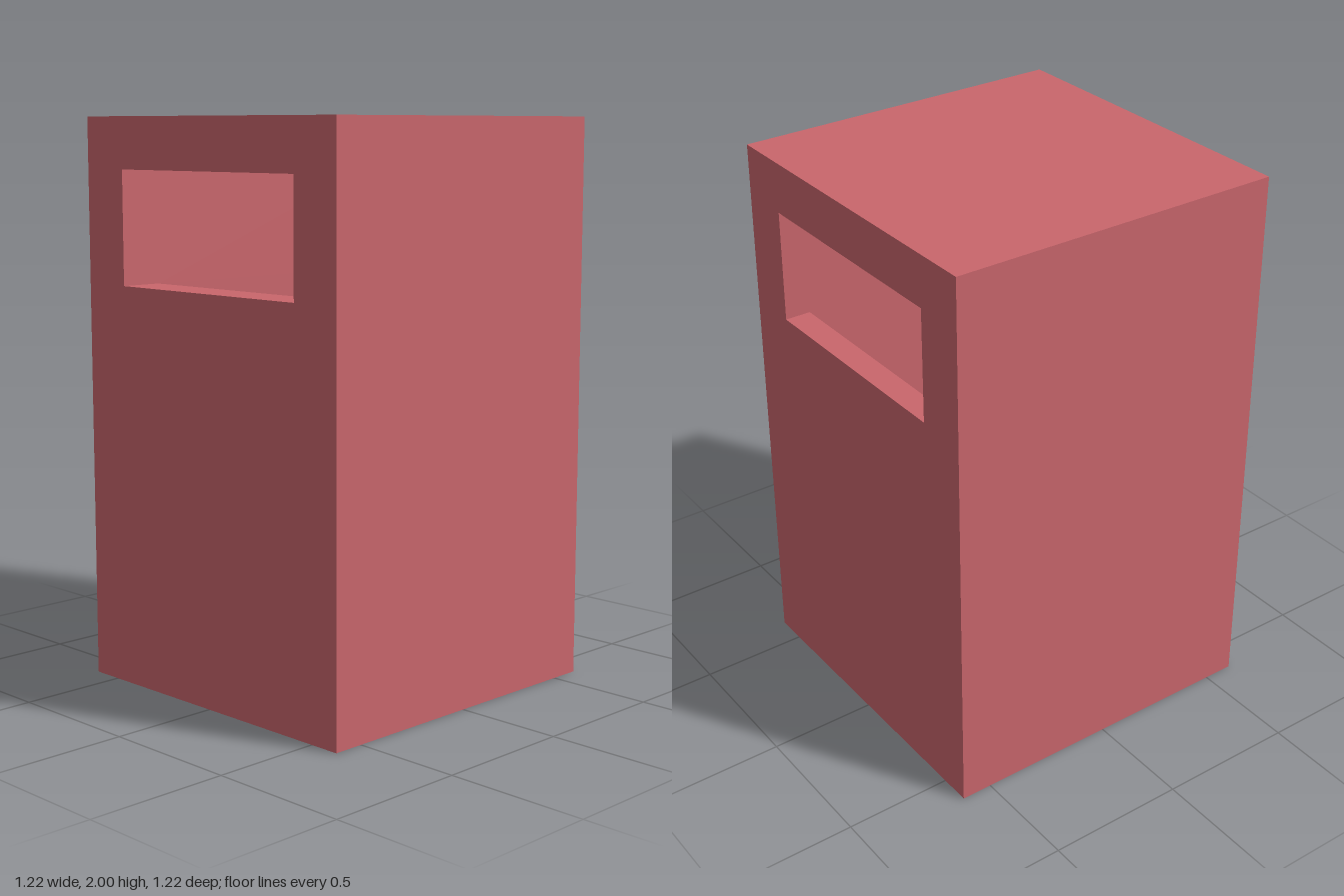
import * as THREE from 'three';
import { mergeGeometries } from 'three/addons/utils/BufferGeometryUtils.js';

const HALF = 0.612, HEIGHT = 2;                  // outer body
const OPEN_X = 0.424, SILL = 1.42, LINTEL = 1.82; // slot, flush with the cavity sides and ceiling
const FRONT = 0.46, BACK = -0.518, FLOOR = 0.18; // inner faces of the front wall, back wall and floor

const poly = (pts) => pts.map(([x, y]) => new THREE.Vector2(x, y));
const rect = (x0, y0, x1, y1) => poly([[x0, y0], [x1, y0], [x1, y1], [x0, y1]]);

// Flat panel from an outline, turned and then placed
function panel(outline, rx, ry, x, y, z, hole) {
  const shape = new THREE.Shape(outline);
  if (hole) shape.holes.push(new THREE.Path(hole));
  return new THREE.ShapeGeometry(shape).rotateX(rx).rotateY(ry).translate(x, y, z);
}

export function createModel() {
  const group = new THREE.Group();
  group.name = 'slottedBin';
  const material = new THREE.MeshStandardMaterial({ color: 0xc9666c });
  const add = (name, parts) => {
    const mesh = new THREE.Mesh(mergeGeometries(parts), material);
    mesh.name = name;
    group.add(mesh);
  };
  const Q = Math.PI / 2;

  // Outer skin: slotted front and back, plain sides, top and base
  const outer = [];
  for (const turn of [0, 1]) {
    const s = turn ? -1 : 1;
    outer.push(panel(rect(-HALF, 0, HALF, HEIGHT), 0, turn * Math.PI, 0, 0, s * HALF,
      rect(-OPEN_X, SILL, OPEN_X, LINTEL)));
    outer.push(panel(rect(-HALF, 0, HALF, HEIGHT), 0, s * Q, s * HALF, 0, 0));
    outer.push(panel(rect(-HALF, -HALF, HALF, HALF), -s * Q, 0, 0, turn ? 0 : HEIGHT, 0));
  }
  add('outerShell', outer);

  // Inner side walls: cavity with the slot tunnel reaching both faces
  const side = (m) => poly([[m * FRONT, FLOOR], [m * FRONT, SILL], [m * HALF, SILL], [m * HALF, LINTEL],
    [-m * HALF, LINTEL], [-m * HALF, SILL], [m * BACK, SILL], [m * BACK, FLOOR]]);
  add('innerSides', [
    panel(side(1), 0, -Q, OPEN_X, 0, 0),
    panel(side(-1), 0, Q, -OPEN_X, 0, 0),
  ]);

  // Inner faces of the front and back walls, below the slots
  const wall = rect(-OPEN_X, FLOOR, OPEN_X, SILL);
  add('innerEndWalls', [
    panel(wall, 0, 0, 0, 0, BACK),
    panel(wall, 0, Math.PI, 0, 0, FRONT),
  ]);

  // Level surfaces: local y runs to -z when facing up, to +z when facing down
  const level = (z0, z1, y) => panel(rect(-OPEN_X, -z1, OPEN_X, -z0), -Q, 0, 0, y, 0);
  add('slotSills', [level(FRONT, HALF, SILL), level(-HALF, BACK, SILL)]);
  add('cavityFloor', [level(BACK, FRONT, FLOOR)]);
  add('ceiling', [panel(rect(-OPEN_X, -HALF, OPEN_X, HALF), Q, 0, 0, LINTEL, 0)]);
  return group;
}
